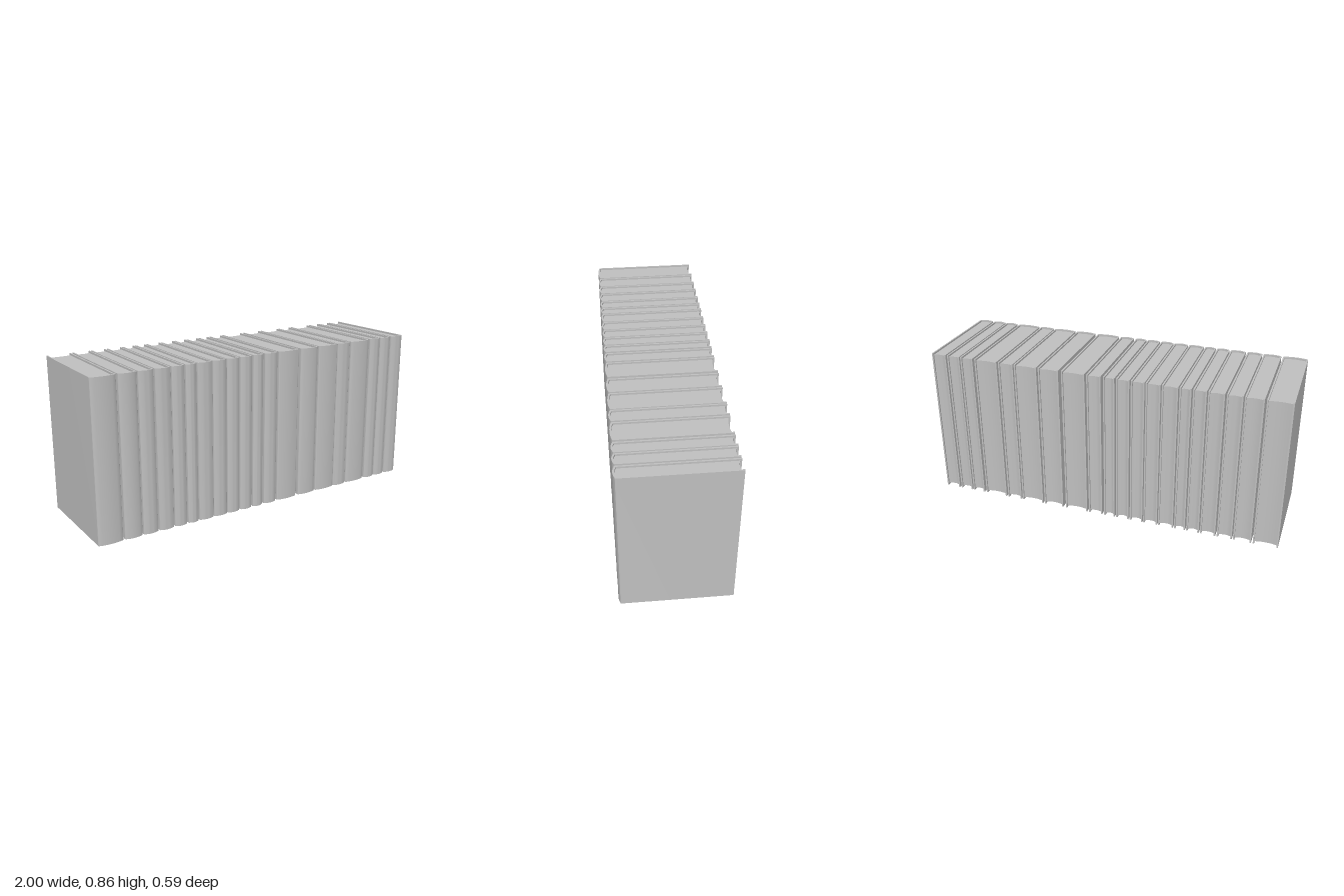
import * as THREE from 'three';
import { toCreasedNormals } from 'three/addons/utils/BufferGeometryUtils.js';

const HEIGHT = 0.862; // cover height
const DEPTH = 0.295; // half depth of the row
const BOARD = 0.008; // cover thickness
const LIP = 0.01; // cover overhang above and below the pages

// Left and right edge of each book along x
const books = [
  [-1, -0.865], [-0.855, -0.757], [-0.75, -0.667], [-0.658, -0.573], [-0.566, -0.495],
  [-0.487, -0.425], [-0.418, -0.332], [-0.326, -0.246], [-0.24, -0.166], [-0.158, -0.085],
  [-0.076, -0.013], [0, 0.08], [0.091, 0.223], [0.24, 0.357], [0.367, 0.498],
  [0.505, 0.592], [0.602, 0.736], [0.749, 0.823], [0.83, 0.905], [0.915, 1],
];

// Extrudes a plan drawn as (x, -z) upwards along y
function rise(shape, bottom, height) {
  const geometry = new THREE.ExtrudeGeometry(shape, { depth: height, bevelEnabled: false, curveSegments: 8 });
  geometry.rotateX(-Math.PI / 2);
  geometry.translate(0, bottom, 0);
  return toCreasedNormals(geometry, 0.6);
}

// U-shaped cover: two boards joined by a rounded spine at the front
function coverShape(w) {
  const i = w - BOARD;
  const r = 0.006; // rounded shoulder
  const s = new THREE.Shape();
  s.moveTo(-w, DEPTH);
  s.lineTo(-w, -0.279);
  s.quadraticCurveTo(-w, -0.286, -w + r, -0.287);
  s.quadraticCurveTo(0, -0.303, w - r, -0.287);
  s.quadraticCurveTo(w, -0.286, w, -0.279);
  s.lineTo(w, DEPTH);
  s.lineTo(i, DEPTH);
  s.lineTo(i, -0.277);
  s.quadraticCurveTo(0, -0.295, -i, -0.277);
  s.lineTo(-i, DEPTH);
  s.closePath();
  return s;
}

// Page block: rounded against the spine, hollowed at the fore edge
function pagesShape(w) {
  const i = w - BOARD;
  const s = new THREE.Shape();
  s.moveTo(-i, 0.286);
  s.lineTo(-i, -0.277);
  s.quadraticCurveTo(0, -0.295, i, -0.277);
  s.lineTo(i, 0.286);
  s.quadraticCurveTo(0, 0.27, -i, 0.286);
  return s;
}

export function createModel() {
  const grey = new THREE.MeshStandardMaterial({ color: 0xc0c0c0 });
  grey.name = 'plain grey';

  const row = new THREE.Group();
  row.name = 'bookRow';
  books.forEach(([left, right], n) => {
    const w = (right - left) / 2;
    const book = new THREE.Group();
    book.name = `book${n + 1}`;
    book.position.x = (left + right) / 2;

    const cover = new THREE.Mesh(rise(coverShape(w), 0, HEIGHT), grey);
    cover.name = 'cover';
    const pages = new THREE.Mesh(rise(pagesShape(w), LIP, HEIGHT - 2 * LIP), grey);
    pages.name = 'pages';

    book.add(cover, pages);
    row.add(book);
  });
  return row;
}
